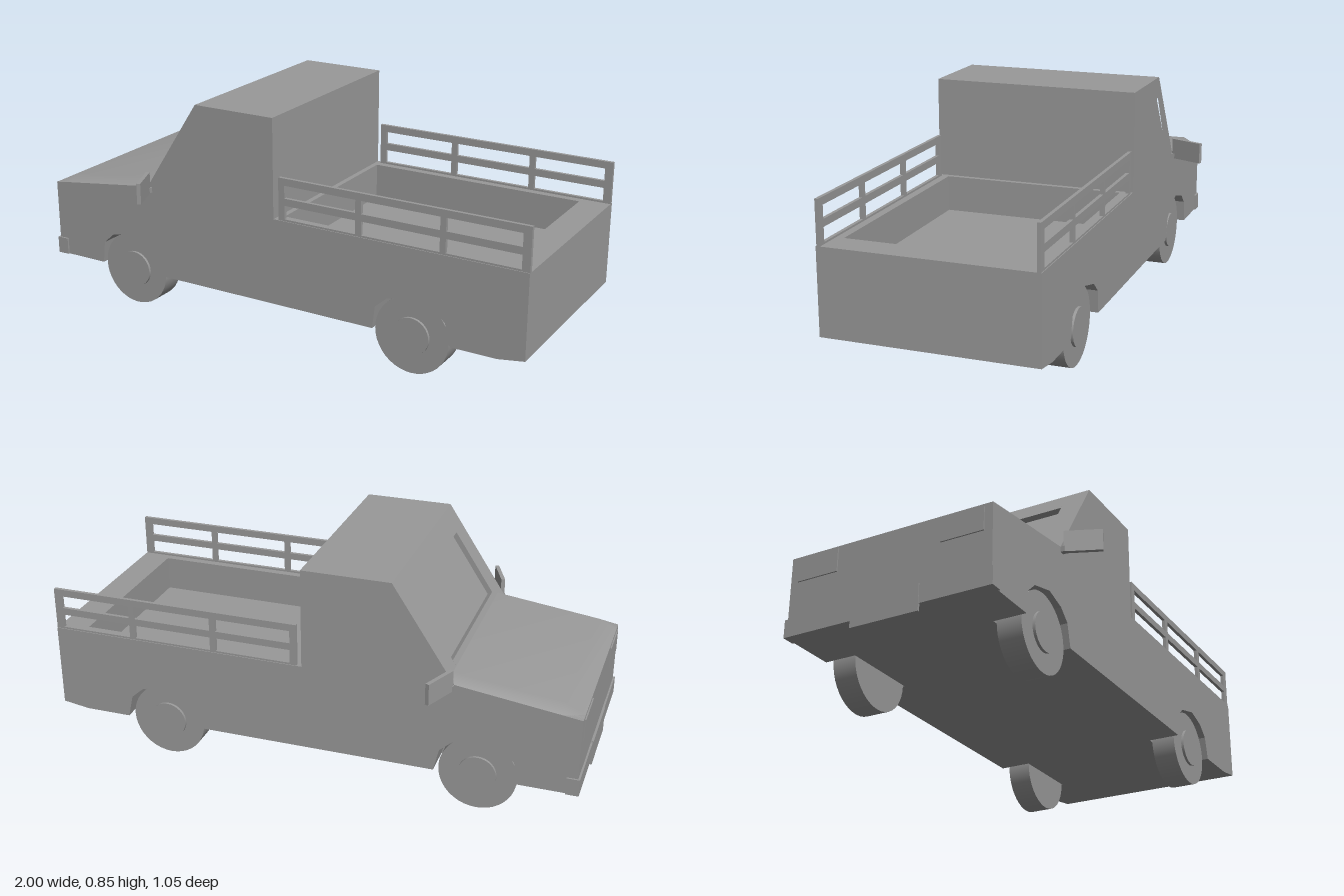
import * as THREE from 'three';
import { mergeGeometries } from 'three/addons/utils/BufferGeometryUtils.js';

const WHEEL_X = [-0.63, 0.57];
const ARCH = [[0.155, 0.145], [0.135, 0.23], [0.09, 0.27], [0.01, 0.295], [-0.09, 0.27], [-0.135, 0.23], [-0.145, 0.145]];
const SIDE_WINDOW = [[-0.41, 0.57], [-0.30, 0.77], [-0.05, 0.77], [-0.075, 0.565]];
const toPoints = (list) => list.map(([x, y]) => new THREE.Vector2(x, y));

// Side outline of cab and bed, with optional recesses
function sideOutline({ windshield, bed, arches, sideWindow }) {
  const p = [[-0.99, 0.145], [-0.99, 0.44], [-0.92, 0.45], [-0.54, 0.50]];
  if (windshield) p.push([-0.51, 0.546], [-0.493, 0.535], [-0.343, 0.763], [-0.36, 0.774]);
  p.push([-0.31, 0.85], [0.02, 0.85], [0.02, 0.475]);
  if (bed) p.push([0.04, 0.475], [0.04, 0.34], [0.89, 0.34], [0.89, 0.475]);
  p.push([1, 0.475], [1, 0.16], [0.9, 0.145]);
  if (arches) {
    for (const cx of [...WHEEL_X].reverse()) p.push(...ARCH.map(([x, y]) => [cx + x, y]));
  }
  const shape = new THREE.Shape(toPoints(p));
  if (sideWindow) shape.holes.push(new THREE.Path(toPoints(SIDE_WINDOW)));
  return shape;
}

function slab(z0, z1, options) {
  const g = new THREE.ExtrudeGeometry(sideOutline(options), { depth: z1 - z0, bevelEnabled: false });
  return g.translate(0, 0, z0);
}

export function createModel() {
  const model = new THREE.Group();
  model.name = 'pickupTruck';
  const grey = new THREE.MeshStandardMaterial({ color: 0x999999 });
  grey.name = 'grey';

  function add(name, geometry, x = 0, y = 0, z = 0) {
    const mesh = new THREE.Mesh(geometry, grey);
    mesh.name = name;
    mesh.position.set(x, y, z);
    model.add(mesh);
    return mesh;
  }
  const box = (name, x0, x1, y0, y1, z0, z1) => add(name,
    new THREE.BoxGeometry(x1 - x0, y1 - y0, z1 - z0), (x0 + x1) / 2, (y0 + y1) / 2, (z0 + z1) / 2);

  // Body: slabs across the width, each with the recesses that reach it
  const slabs = [slab(-0.27, 0.27, { windshield: true, bed: true })];
  const layers = [
    [0.27, 0.30, { windshield: true, bed: true, arches: true }],
    [0.30, 0.345, { bed: true, arches: true }],
    [0.345, 0.365, { arches: true }],
    [0.365, 0.39, { arches: true, sideWindow: true }],
  ];
  for (const [a, b, options] of layers) slabs.push(slab(a, b, options), slab(-b, -a, options));
  add('body', mergeGeometries(slabs));

  // Hood: crowned panel with sloping front and side edges
  const rows = [[-0.99, 0.44, 0.44], [-0.92, 0.45, 0.475], [-0.51, 0.504, 0.527]];
  const columns = [-0.39, -0.345, 0.345, 0.39];
  const positions = [], index = [];
  rows.forEach(([x, edge, middle], r) => columns.forEach((z, c) => {
    positions.push(x, c === 0 || c === 3 ? edge : middle, z);
    if (r < 2 && c < 3) {
      const i = r * 4 + c;
      index.push(i, i + 1, i + 4, i + 1, i + 5, i + 4);
    }
  }));
  const hood = new THREE.BufferGeometry();
  hood.setAttribute('position', new THREE.Float32BufferAttribute(positions, 3));
  hood.setIndex(index);
  hood.computeVertexNormals();
  add('hood', hood);

  // Front bumper, number plate
  box('bumper', -0.997, -0.95, 0.145, 0.21, -0.397, 0.397);
  box('frontPlate', -1, -0.992, 0.118, 0.215, -0.13, 0.13);

  for (const side of [-1, 1]) {
    const label = side > 0 ? 'left' : 'right';
    const span = (a, b) => side > 0 ? [a, b] : [-b, -a];

    box(label + 'Headlight', -0.995, -0.988, 0.345, 0.43, ...span(0.20, 0.36));

    // Wheels with hubs
    const inner = side > 0 ? 0.28 : 0.27;
    for (const x of WHEEL_X) {
      const wheel = new THREE.CylinderGeometry(0.143, 0.143, 0.09, 40).rotateX(Math.PI / 2);
      add(label + 'Wheel', wheel, x, 0.143, side * (inner + 0.045));
      const hub = new THREE.CylinderGeometry(0.07, 0.07, 0.02, 32).rotateX(Math.PI / 2);
      add(label + 'Hub', hub, x, 0.143, side * (inner + 0.09));
    }

    // Angled door mirror and its stub
    const mirror = add(label + 'Mirror', new THREE.BoxGeometry(0.015, 0.08, 0.135), -0.505, 0.52, side * 0.46);
    mirror.rotation.y = side * Math.atan2(0.055, 0.13);
    box(label + 'MirrorStub', -0.54, -0.52, 0.48, 0.5, ...span(0.38, 0.405));

    // Bed rail
    const depth = span(0.374, 0.387);
    box(label + 'TopRail', 0.04, 1, 0.608, 0.635, ...depth);
    box(label + 'MiddleRail', 0.04, 1, 0.533, 0.56, ...depth);
    box(label + 'BottomRail', 0.04, 1, 0.472, 0.482, ...depth);
    for (const [a, b] of [[0.04, 0.065], [0.352, 0.375], [0.675, 0.697], [0.97, 1]]) {
      box(label + 'RailPost', a, b, 0.472, 0.634, ...depth);
    }
  }
  return model;
}
